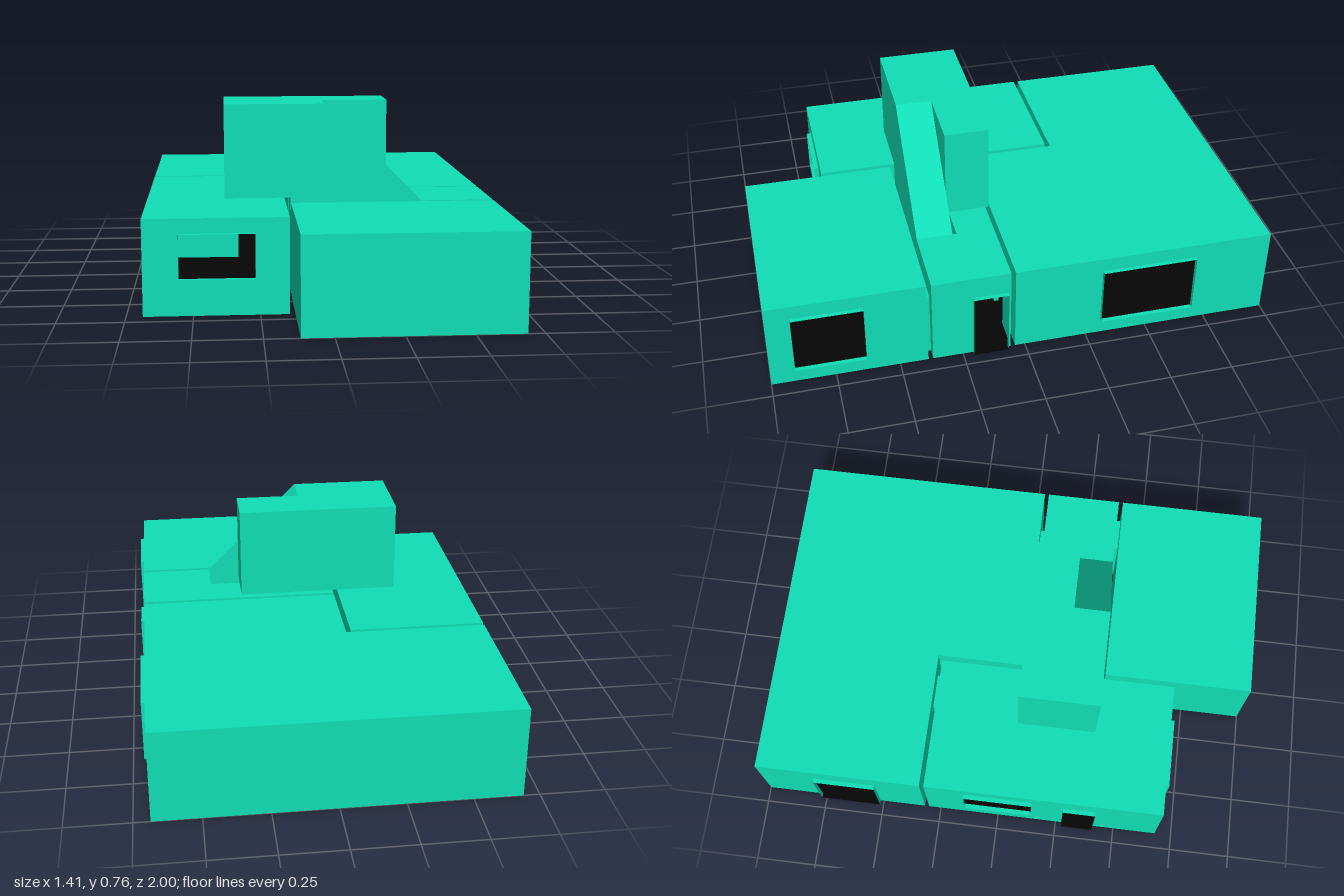
import * as THREE from 'three';
import { mergeGeometries } from 'three/addons/utils/BufferGeometryUtils.js';

const shellMat = new THREE.MeshStandardMaterial({ color: 0x10deb6, side: THREE.DoubleSide });
const floorMat = new THREE.MeshStandardMaterial({ color: 0x050505, side: THREE.DoubleSide });
const H = 0.37, GAP = 0.018;

// Flat polygon on the plane axis = c. Points are [x,z] on y, [x,y] on z, [z,y] on x.
function face(axis, c, pts) {
  const g = new THREE.ShapeGeometry(new THREE.Shape(pts.map(p => new THREE.Vector2(...p))));
  const pos = g.attributes.position;
  for (let i = 0; i < pos.count; i++) {
    const u = pos.getX(i), v = pos.getY(i);
    if (axis === 'x') pos.setXYZ(i, c, v, u);
    else if (axis === 'y') pos.setXYZ(i, u, c, v);
    else pos.setXYZ(i, u, v, c);
  }
  // axis z already faces +z; turn the others to face +x and +y
  if (axis !== 'z') g.index.array.reverse();
  g.computeVertexNormals();
  return g;
}
const rect = (axis, c, a, b, y0, y1) => face(axis, c, [[a, y0], [b, y0], [b, y1], [a, y1]]);

function mesh(name, faces, mat) {
  const m = new THREE.Mesh(mergeGeometries(faces), mat);
  m.name = name;
  return m;
}

// Wall split around its openings
function wall(axis, c, a, b, openings) {
  const out = [];
  let u = a;
  const mine = openings
    .filter(o => o.axis === axis && Math.abs(o.c - c) < 1e-4 && o.a >= a && o.b <= b)
    .sort((p, q) => p.a - q.a);
  for (const o of mine) {
    out.push(rect(axis, c, u, o.a, 0, H), rect(axis, c, o.a, o.b, o.y1, H));
    if (o.y0 > 0) out.push(rect(axis, c, o.a, o.b, 0, o.y0));
    u = o.b;
  }
  out.push(rect(axis, c, u, b, 0, H));
  return out;
}

// All walls along an outline of [x,z] corners; skip lists edges left open
function walls(outline, openings, skip = []) {
  return outline.flatMap(([x0, z0], i) => {
    if (skip.includes(i)) return [];
    const [x1, z1] = outline[(i + 1) % outline.length];
    return x0 === x1
      ? wall('x', x0, Math.min(z0, z1), Math.max(z0, z1), openings)
      : wall('z', z0, Math.min(x0, x1), Math.max(x0, x1), openings);
  });
}

function room(name, outline, openings) {
  const g = new THREE.Group();
  g.name = name;
  g.add(mesh(name + 'Walls', [...walls(outline, openings), face('y', H, outline)], shellMat));
  g.add(mesh(name + 'Floor', [face('y', 0, outline)], floorMat));
  return g;
}

// Thin sleeve lining an opening, from the wall plane c to c + d
function sleeve(name, { axis, c, a, b, y0, y1, d }) {
  const g = new THREE.Group();
  g.name = name;
  const e = c + d, other = axis === 'x' ? 'z' : 'x';
  const side = u => rect(other, u, c, e, y0, y1);
  const flat = y => face('y', y, axis === 'x'
    ? [[c, a], [e, a], [e, b], [c, b]] : [[a, c], [b, c], [b, e], [a, e]]);
  const lining = [side(a), side(b), flat(y1)];
  if (y0 > 0) lining.push(flat(y0));
  else g.add(mesh(name + 'Threshold', [flat(0)], floorMat));
  g.add(mesh(name + 'Lining', lining, shellMat));
  return g;
}

export function createModel() {
  const model = new THREE.Group();
  model.name = 'house';

  const W = -0.688, E = 0.687, I = -0.12, L = -0.14;  // outer and inner wall lines
  const backN = -0.32, leftN = -0.302, backS = 0.04, hallN = 0.058, hallS = 0.37, frontN = 0.388;
  const slot0 = 0.21, slot1 = 0.226, stairE = 0.398;

  const op = (name, axis, c, a, b, y0, y1, d) => ({ name, axis, c, a, b, y0, y1, d });
  const outer = [
    op('backWindow', 'x', E, -0.69, -0.31, 0.067, 0.312, GAP),
    op('hallDoor', 'x', E, 0.07, 0.208, 0, 0.277, GAP),
    op('frontRoomWindow', 'x', E, 0.63, 0.905, 0.067, 0.312, GAP),
    op('backDoor', 'x', W, -0.77, -0.515, 0, 0.277, -GAP),
    op('sideWindow', 'x', W, -0.14, 0.142, 0.142, 0.312, -GAP),
    op('sideDoor', 'x', W, 0.275, 0.41, 0, 0.277, -GAP),
    op('sideRoomFrontWindow', 'z', 0.68, -0.553, -0.268, 0.142, 0.312, GAP),
  ];
  // Doorways bridging the gaps between neighbouring rooms
  const inner = [
    op('backToSideDoorway', 'z', backN, -0.32, -0.18, 0, 0.277, leftN - backN),
    op('backToHallDoorway', 'z', backS, 0.41, 0.55, 0, 0.277, hallN - backS),
    op('hallToFrontDoorway', 'z', hallS, 0.5, 0.64, 0, 0.277, frontN - hallS),
    op('sideToHallDoorway', 'x', L, 0.07, 0.208, 0, 0.277, I - L),
  ];
  const all = [...outer, ...inner, ...inner.map(o => ({ ...o, c: o.c + o.d }))];
  for (const o of [...outer, ...inner]) model.add(sleeve(o.name, o));

  // Ground floor rooms
  model.add(room('backRoom',
    [[W, -1], [E, -1], [E, backS], [I, backS], [I, backN], [W, backN]], all));
  model.add(room('sideRoom', [[W, leftN], [L, leftN], [L, 0.68], [W, 0.68]], all));
  model.add(room('frontRoom', [[I, frontN], [E, frontN], [E, 1], [I, 1]], all));

  // Hall, open to the stairwell at x = stairE
  const hall = [[I, hallN], [E, hallN], [E, hallS], [stairE, hallS],
    [stairE, slot1], [stairE, slot0], [I, slot0]];
  model.add(mesh('hallWalls', [...walls(hall, all, [3]), face('y', H, hall)], shellMat));
  model.add(mesh('hallFloor', [face('y', 0, hall),
    face('y', 0, [[I, slot1], [stairE, slot1], [stairE, hallS], [I, hallS]])], floorMat));

  // Stairwell and upper room, sharing one front wall
  const U = 0.388, T = 0.758, upW = -0.38, upE = 0.275, upN = 0.05, top = 0.012;
  const cross = H + (stairE - upE) * (T - H) / (stairE - top);  // slope height at upE
  const slope = new THREE.PlaneGeometry(Math.hypot(stairE - top, T - H), hallS - slot1);
  slope.rotateX(-Math.PI / 2).rotateZ(-Math.atan2(T - H, stairE - top));
  slope.translate((stairE + top) / 2, (H + T) / 2, (slot1 + hallS) / 2);
  model.add(mesh('stairwell', [
    face('z', hallS, [[I, 0], [stairE, 0], [stairE, H], [top, T], [upW, T], [upW, U], [I, U]]),
    face('z', slot1, [[I, 0], [stairE, 0], [stairE, H], [upE, cross], [upE, U], [I, U]]),
    rect('x', I, slot1, hallS, 0, U),
    slope,
  ], shellMat));
  model.add(mesh('upperRoomWalls', [
    rect('x', upW, upN, hallS, U, T),
    rect('z', upN, upW, upE, U, T),
    rect('x', upE, upN, slot1, U, T),
    face('z', slot1, [[top, T], [upE, cross], [upE, T]]),
    face('y', T, [[upW, upN], [upE, upN], [upE, slot1], [top, slot1], [top, hallS], [upW, hallS]]),
  ], shellMat));
  model.add(mesh('upperRoomFloor', [
    face('y', U, [[upW, upN], [upE, upN], [upE, slot1], [I, slot1], [I, hallS], [upW, hallS]]),
  ], floorMat));

  return model;
}
